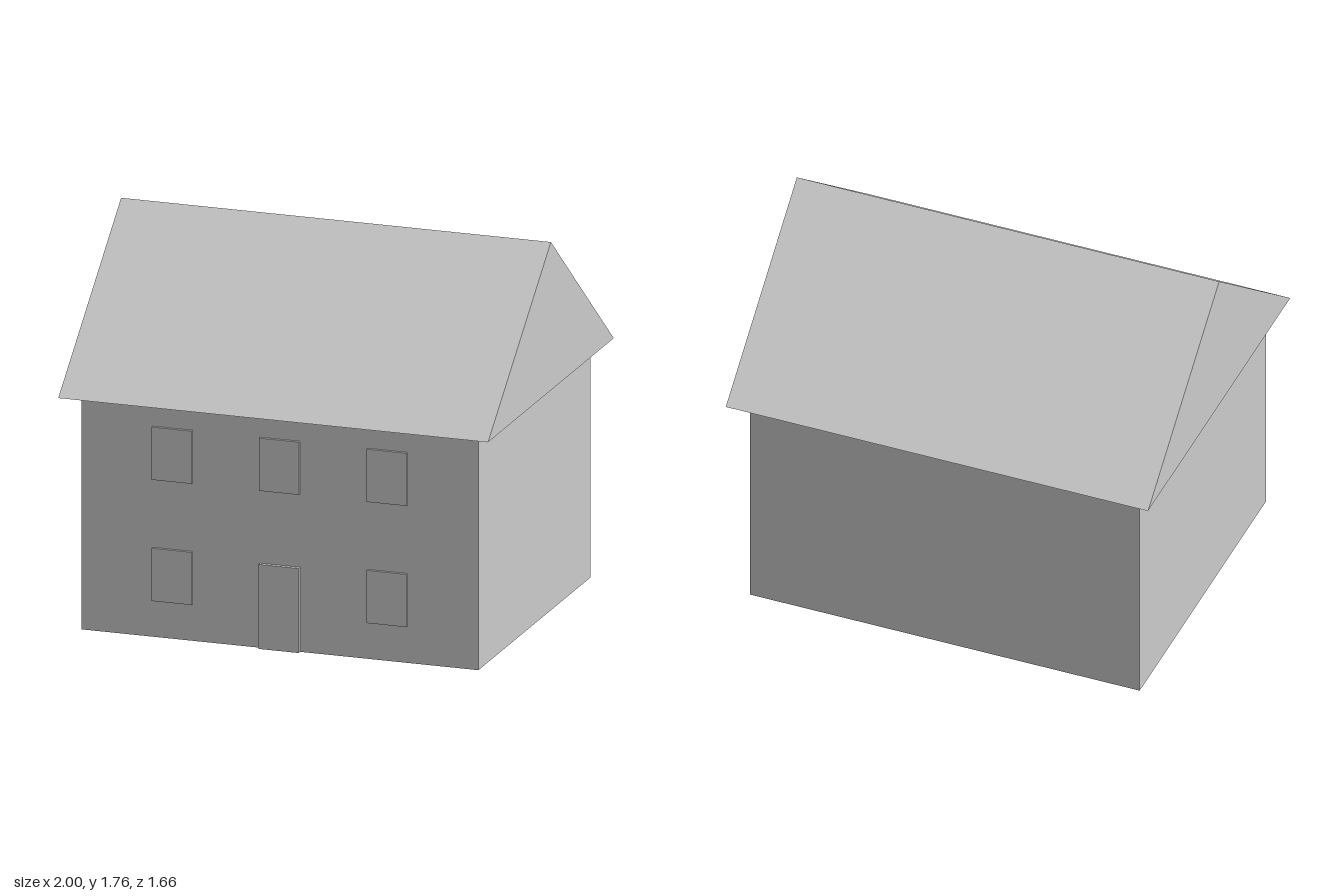
import * as THREE from 'three';

export function createModel() {
  const house = new THREE.Group();
  house.name = 'house';
  const plaster = new THREE.MeshStandardMaterial({ color: 0xcccccc });
  plaster.name = 'plain grey';

  const wallHeight = 1.08, wallDepth = 1.476, front = wallDepth / 2;

  const add = (name, geometry, x, y, z) => {
    const mesh = new THREE.Mesh(geometry, plaster);
    mesh.name = name;
    mesh.position.set(x, y, z);
    house.add(mesh);
  };

  // Main block
  add('walls', new THREE.BoxGeometry(1.846, wallHeight, wallDepth), 0, wallHeight / 2, 0);

  // Solid gable roof: triangle in (z, y) extruded along x
  const gable = new THREE.Shape([
    new THREE.Vector2(-0.83, 0),
    new THREE.Vector2(0.83, 0),
    new THREE.Vector2(0, 0.68),
  ]);
  const roof = new THREE.ExtrudeGeometry(gable, { depth: 2, bevelEnabled: false });
  roof.translate(0, 0, -1).rotateY(Math.PI / 2);
  add('roof', roof, 0, wallHeight, 0);

  // Panels standing proud of the front wall
  const panel = (name, x, bottom, height, depth) =>
    add(name, new THREE.BoxGeometry(0.187, height, depth), x, bottom + height / 2, front + depth / 2);

  panel('door', 0, 0, 0.388, 0.019);
  for (const x of [-0.5, 0, 0.5]) {
    panel('upperWindow', x, 0.724, 0.242, 0.014);
    if (x !== 0) panel('lowerWindow', x, 0.168, 0.242, 0.014);
  }

  return house;
}
